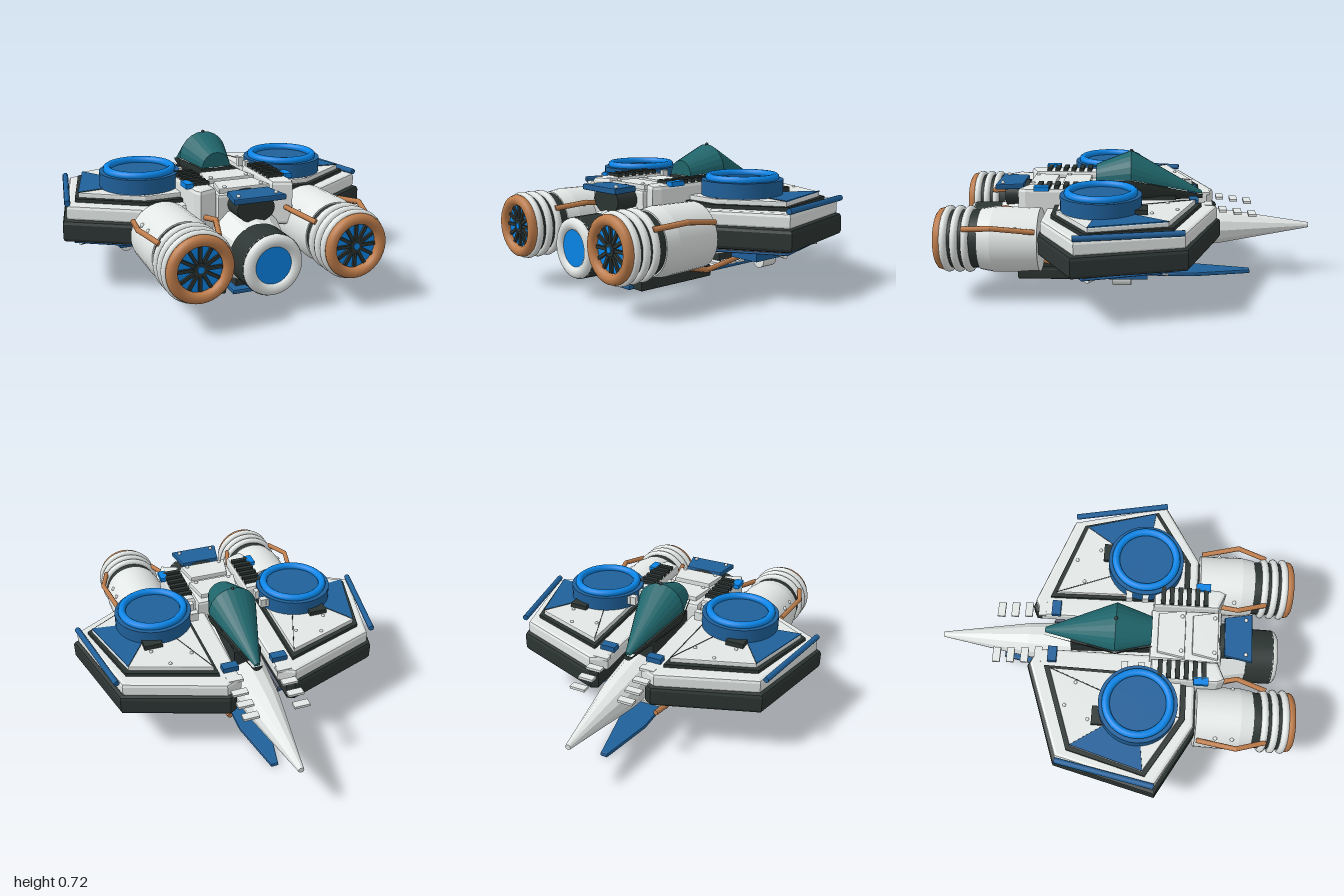
import * as THREE from 'three';

const paint = (name, color) => Object.assign(new THREE.MeshStandardMaterial({ color }), { name });

export function createModel() {
  const white = paint('hull white', 0xe4e9e7), dark = paint('charcoal', 0x2c3533);
  const blue = paint('deep blue', 0x1f609a), bright = paint('bright blue', 0x0a8af0);
  const copper = paint('copper', 0xbf7d4b), teal = paint('canopy teal', 0x1f666c);
  const slate = paint('underside slate', 0x636878);
  const model = new THREE.Group();
  model.name = 'starfighter';
  let parent = model;

  const add = (name, geo, mat, x = 0, y = 0, z = 0) => {
    const m = new THREE.Mesh(geo, mat);
    m.name = name;
    m.position.set(x, y, z);
    parent.add(m);
    return m;
  };
  const box = (name, mat, w, h, d, x, y, z) => add(name, new THREE.BoxGeometry(w, h, d), mat, x, y, z);
  // horizontal plate from [x, z] corners, with bevelled edges
  const plate = (name, mat, pts, y0, y1, bevel = 0) => {
    const shape = new THREE.Shape(pts.map(([x, z]) => new THREE.Vector2(x, -z)));
    const geo = new THREE.ExtrudeGeometry(shape, {
      depth: y1 - y0 - 2 * bevel, bevelEnabled: bevel > 0, bevelSize: bevel,
      bevelThickness: bevel, bevelOffset: -bevel, bevelSegments: 2,
    });
    geo.rotateX(-Math.PI / 2).translate(0, y0 + bevel, 0);
    return add(name, geo, mat);
  };
  // cylinder lying along z
  const drum = (name, mat, r0, r1, z0, z1, x, y, sides = 32) => add(name,
    new THREE.CylinderGeometry(r1, r0, z1 - z0, sides).rotateX(Math.PI / 2), mat, x, y, (z0 + z1) / 2);
  const ring = (name, mat, r, tube, x, y, z) => add(name, new THREE.TorusGeometry(r, tube, 10, 36), mat, x, y, z);
  // jointed rod through a list of points
  const rod = (name, mat, r, pts) => {
    const v = pts.map((p) => new THREE.Vector3(...p));
    for (let i = 1; i < v.length; i++) {
      const dir = v[i].clone().sub(v[i - 1]);
      const m = add(name, new THREE.CylinderGeometry(r, r, dir.length(), 8), mat);
      m.position.copy(v[i]).add(v[i - 1]).multiplyScalar(0.5);
      m.quaternion.setFromUnitVectors(new THREE.Vector3(0, 1, 0), dir.normalize());
      if (i < v.length - 1) add(name + 'Joint', new THREE.SphereGeometry(r, 8, 6), mat, ...pts[i]);
    }
  };
  // faceted body turned round the z axis, its centre line following lift(z)
  const turned = (name, mat, profile, sides, lift, start = 0, sweep = Math.PI * 2) => {
    let geo = new THREE.LatheGeometry(profile.map(([r, z]) => new THREE.Vector2(r, z)), sides, start, sweep);
    geo.rotateX(Math.PI / 2);
    const p = geo.attributes.position;
    for (let i = 0; i < p.count; i++) p.setY(i, p.getY(i) + lift(p.getZ(i)));
    geo = geo.toNonIndexed();
    geo.computeVertexNormals();
    return add(name, geo, mat);
  };

  // fuselage and main engine
  turned('fuselage', white, [[0, -1], [0.015, -1], [0.1, -0.5], [0.145, 0], [0.2, 0.58], [0.15, 0.75], [0, 0.75]],
    12, (z) => 0.278 - z * 0.022);
  drum('engineCollar', dark, 0.157, 0.155, 0.735, 0.89, 0, 0.257);
  ring('engineLip', white, 0.122, 0.033, 0, 0.257, 0.885);
  drum('engineGlow', bright, 0.1, 0.1, 0.87, 0.9, 0, 0.257);

  // cockpit
  const lift = (z) => (z < 0 ? 0.583 + z * 0.26 : 0.583 - z * 0.1);
  turned('canopy', teal, [[0, -0.395], [0.015, -0.395], [0.138, 0], [0.08, 0.195], [0, 0.195]],
    12, lift, Math.PI / 2, Math.PI);
  turned('canopyTub', dark, [[0, -0.4], [0.028, -0.4], [0.145, 0], [0.088, 0.2], [0, 0.2]],
    12, lift, -Math.PI / 2, Math.PI);
  box('cockpitBase', dark, 0.15, 0.1, 0.46, 0, 0.43, -0.02);
  add('canopyLatch', new THREE.SphereGeometry(0.01, 8, 6), dark, 0, 0.72, 0);

  // spine deck
  plate('spine', white, [[-0.14, 0.19], [0.14, 0.19], [0.15, 0.58], [-0.15, 0.58]], 0.38, 0.53, 0.015);
  const panel = (name, mat, z0, z1, y0, y1) =>
    plate(name, mat, [[-0.11, z0], [0.11, z0], [0.138, z1], [-0.138, z1]], y0, y1, 0.006);
  panel('spinePanelFront', white, 0.23, 0.38, 0.525, 0.555);
  panel('spinePanelRear', white, 0.42, 0.56, 0.525, 0.555);
  panel('spineHatch', blue, 0.595, 0.745, 0.522, 0.552);
  drum('hatchSupport', dark, 0.1, 0.1, 0.57, 0.7, 0, 0.477).scale.y = 0.7;
  for (const x of [-0.1, 0.1]) for (const z of [0.36, 0.54, 0.71])
    add('rivet', new THREE.SphereGeometry(0.011, 8, 6), white, x, 0.555, z);

  // keel blade with its mounts
  plate('keelBlade', blue, [[-0.085, -0.36], [-0.02, -0.68], [0.02, -0.68], [0.085, -0.36], [0.085, 0.63], [-0.085, 0.63]],
    0.008, 0.032, 0.008);
  box('keelStrut', dark, 0.1, 0.14, 0.1, 0, 0.095, -0.1);
  box('keelRearStrut', dark, 0.1, 0.1, 0.4, 0, 0.07, 0.38);
  for (let i = 0; i < 5; i++) box('keelRung', white, 0.25, 0.014, 0.045, 0, 0.045, -0.16 + i * 0.07);

  for (const s of [1, -1]) {
    parent = new THREE.Group();
    parent.name = s > 0 ? 'leftSide' : 'rightSide';
    model.add(parent);
    const side = (pts) => pts.map(([x, ...rest]) => [x * s, ...rest]);

    // wing layers
    plate('wingLower', dark, side([[0.14, -0.47], [0.18, -0.49], [0.72, -0.3], [0.86, 0.26], [0.5, 0.47], [0.14, 0.47]]), 0.27, 0.385, 0.02);
    plate('wingUpper', white, side([[0.1, -0.43], [0.19, -0.47], [0.7, -0.285], [0.835, 0.245], [0.49, 0.45], [0.1, 0.45]]), 0.375, 0.457, 0.018);
    plate('wingTrim', dark, side([[0.205, -0.385], [0.665, -0.225], [0.78, 0.2], [0.46, 0.4], [0.22, 0.4]]), 0.45, 0.476);
    const deck = side([[0.225, -0.35], [0.645, -0.205], [0.758, 0.185], [0.46, 0.37], [0.24, 0.37]]);
    plate('wingDeck', white, deck, 0.47, 0.5, 0.006);
    plate('wingMarking', blue, [deck[1], deck[2], [0.415 * s, 0.14]], 0.498, 0.504);
    for (const [x, z] of deck.slice(0, 4)) rod('wingSeam', dark, 0.002, [[x, 0.501, z], [0.415 * s, 0.501, 0.14]]);
    for (const [x, z] of [[0.3, -0.2], [0.5, -0.12], [0.43, -0.25]])
      add('rivet', new THREE.SphereGeometry(0.01, 8, 6), white, x * s, 0.5, z);
    rod('wingEdgeRail', blue, 0.016, side([[0.725, 0.468, -0.28], [0.83, 0.468, 0.25]]));
    box('wingVent', dark, 0.1, 0.03, 0.07, 0.48 * s, 0.51, -0.065);

    // lift turret
    add('turret', new THREE.CylinderGeometry(0.211, 0.211, 0.08, 40), blue, 0.418 * s, 0.538, 0.142);
    add('turretRim', new THREE.TorusGeometry(0.17, 0.021, 10, 40).rotateX(Math.PI / 2), bright, 0.418 * s, 0.588, 0.142);
    for (const z of [0.06, 0.15]) box('turretBracket', white, 0.055, 0.05, 0.035, 0.212 * s, 0.545, z);
    box('turretBracketBar', white, 0.022, 0.045, 0.13, 0.228 * s, 0.545, 0.105);

    // ribbed shoulder rail
    plate('shoulderRail', white, side([[0.155, 0.2], [0.27, 0.2], [0.27, 0.56], [0.25, 0.6], [0.155, 0.56]]), 0.33, 0.565, 0.02);
    for (let i = 0; i < 6; i++) box('coolingRib', dark, 0.1, 0.025, 0.025, 0.213 * s, 0.568, 0.25 + i * 0.047);
    box('railClamp', bright, 0.042, 0.025, 0.08, 0.272 * s, 0.568, 0.47);

    // nose vanes
    for (let i = 0; i < 3; i++) box('noseVane', white, 0.085, 0.014, 0.042, 0.137 * s, 0.4 + i * 0.012, -0.664 + i * 0.08);
    box('noseVaneRear', white, 0.085, 0.016, 0.042, 0.137 * s, 0.45, -0.425);
    box('noseVaneBlue', blue, 0.085, 0.03, 0.05, 0.137 * s, 0.47, -0.345);

    // engine nacelle
    const x = 0.4 * s, y = 0.325;
    drum('nacelle', white, 0.167, 0.172, 0.46, 0.7, x, y);
    drum('nacelleTaper', white, 0.172, 0.16, 0.7, 0.77, x, y);
    drum('nacelleCore', dark, 0.153, 0.153, 0.76, 0.95, x, y);
    for (const z of [0.83, 0.885, 0.94]) ring('nacelleRing', white, 0.156, 0.02, x, y, z);
    ring('exhaustLip', copper, 0.136, 0.028, x, y, 0.97);
    drum('exhaustGlow', bright, 0.115, 0.115, 0.94, 0.962, x, y);
    for (let i = 0; i < 12; i++) {
      const a = (i * Math.PI) / 6;
      const blade = box('exhaustBlade', dark, 0.085, 0.016, 0.016, x + 0.064 * Math.cos(a), y + 0.064 * Math.sin(a), 0.966);
      blade.rotation.z = a;
    }
    drum('exhaustHub', dark, 0.032, 0.032, 0.95, 0.978, x, y, 16);
    drum('exhaustHubCap', bright, 0.018, 0.016, 0.97, 0.982, x, y, 12);
    for (const t of [1, -1]) {
      rod('nacellePipe', copper, 0.014, [[x + t * 0.155, 0.41, 0.47], [x + t * 0.195, 0.44, 0.68], [x + t * 0.145, 0.42, 0.84]]);
      for (const z of [0.57, 0.66]) add('rivet', new THREE.SphereGeometry(0.012, 8, 6), white, x + t * 0.14, 0.42, z);
    }

    // wing underside with lift pod
    const pan = side([[0.13, -0.37], [0.66, -0.21], [0.79, 0.21], [0.46, 0.41], [0.13, 0.41]]);
    plate('underPanel', slate, pan, 0.25, 0.275);
    rod('underEdgeLine', blue, 0.006, pan.slice(0, 4).map(([px, pz]) => [px, 0.248, pz]));
    for (const [px, pz] of [[0.22, -0.32], [0.64, -0.2], [0.76, 0.19], [0.45, 0.37]])
      rod('podStrut', white, 0.013, [[0.45 * s, 0.215, 0.03], [px * s, 0.232, pz]]);
    box('liftPod', blue, 0.18, 0.055, 0.26, 0.45 * s, 0.187, 0.03);
    box('podNeck', dark, 0.08, 0.05, 0.1, 0.45 * s, 0.232, 0.03);
    drum('podLamp', white, 0.038, 0.038, -0.015, 0.08, 0.48 * s, 0.146, 20);

    // landing skid and fuel pipe
    plate('skid', dark, side([[0.125, 0.15], [0.19, 0.15], [0.19, 0.63], [0.125, 0.63]]), 0.02, 0.09, 0.012);
    box('skidMount', dark, 0.05, 0.08, 0.3, 0.145 * s, 0.115, 0.42);
    rod('fuelPipe', copper, 0.015, side([[0.19, 0.17, 0.62], [0.195, 0.06, 0.18], [0.125, 0.1, -0.32]]));
  }
  return model;
}
